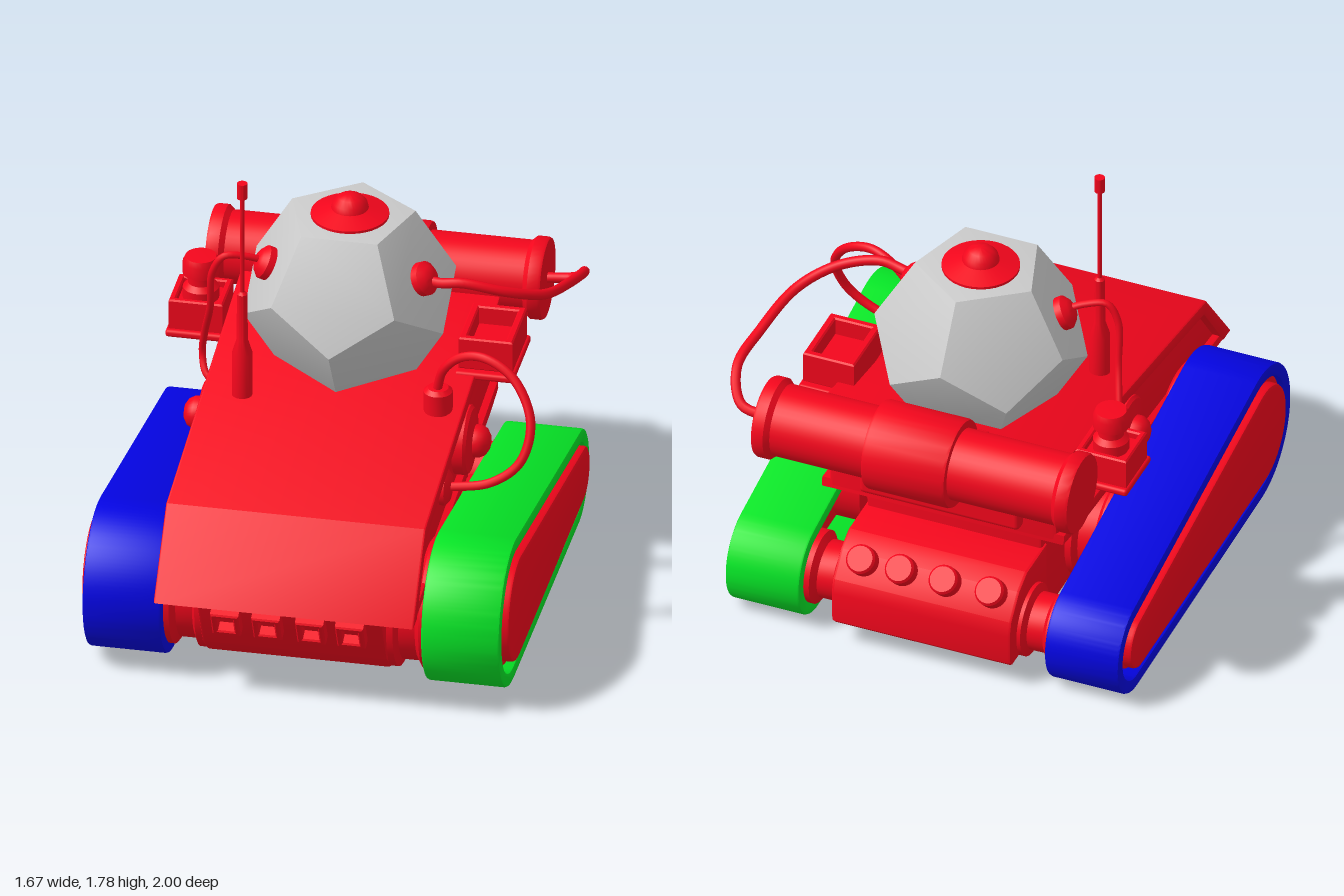
import * as THREE from 'three';
import { toCreasedNormals } from 'three/addons/utils/BufferGeometryUtils.js';
import { RoundedBoxGeometry } from 'three/addons/geometries/RoundedBoxGeometry.js';
import { ConvexGeometry } from 'three/addons/geometries/ConvexGeometry.js';

const mat = (color) => new THREE.MeshStandardMaterial({ color, side: THREE.DoubleSide });
const V = (x, y, z) => new THREE.Vector3(x, y, z);

export function createModel() {
  const model = new THREE.Group();
  const red = mat(0xf4061c), green = mat(0x06e426), blue = mat(0x0404e0), grey = mat(0xcccccc);

  const add = (name, geo, material = red, x = 0, y = 0, z = 0) => {
    const m = new THREE.Mesh(geo, material);
    m.name = name;
    m.position.set(x, y, z);
    model.add(m);
    return m;
  };
  const box = (name, w, h, d, x, y, z, r = 0.012) =>
    add(name, new RoundedBoxGeometry(w, h, d, 2, r), red, x, y, z);

  // Turned part: profile of [radius, height], its axis turned towards dir
  const turned = (name, profile, pos, dir = V(0, 1, 0), seg = 32) => {
    const pts = profile.map(([r, h]) => new THREE.Vector2(r, h));
    const geo = toCreasedNormals(new THREE.LatheGeometry(pts, seg), 0.6);
    const m = add(name, geo, red, pos.x, pos.y, pos.z);
    m.quaternion.setFromUnitVectors(V(0, 1, 0), dir.clone().normalize());
    return m;
  };

  // Side profile in (z, y), extruded between x0 and x1
  const slab = (shape, x0, x1, bevel = 0.012, crease = 0.5) => {
    const geo = new THREE.ExtrudeGeometry(shape, {
      depth: x1 - x0 - 2 * bevel, curveSegments: 28,
      bevelThickness: bevel, bevelSize: bevel, bevelOffset: -bevel, bevelSegments: 2,
    });
    geo.rotateY(-Math.PI / 2).translate(x1 - bevel, 0, 0);
    return toCreasedNormals(geo, crease);
  };
  const polygon = (pts) => new THREE.Shape(pts.map(([z, y]) => new THREE.Vector2(z, y)));

  // Outline of a belt around two wheels of different size
  const beltPath = (P, z1, y1, r1, z2, y2, r2) => {
    const p = new P();
    const b = Math.atan2(y2 - y1, z2 - z1);
    const a = Math.acos((r1 - r2) / Math.hypot(z2 - z1, y2 - y1));
    p.absarc(z1, y1, r1, b + a, b - a + 2 * Math.PI, false);
    p.absarc(z2, y2, r2, b - a, b + a, false);
    p.closePath();
    return p;
  };

  const tube = (name, pts, r = 0.018) =>
    add(name, new THREE.TubeGeometry(
      new THREE.CatmullRomCurve3(pts.map((p) => V(...p))), 60, r, 10));

  // Open square frame facing +z
  const frame = (w, h, wall, depth) => {
    const rect = (P, a, b) => new P([[-a, -b], [a, -b], [a, b], [-a, b]].map((q) => new THREE.Vector2(...q)));
    const s = rect(THREE.Shape, w / 2, h / 2);
    s.holes.push(rect(THREE.Path, w / 2 - wall, h / 2 - wall));
    return new THREE.ExtrudeGeometry(s, {
      depth: depth - 0.012, bevelThickness: 0.006, bevelSize: 0.006, bevelOffset: -0.006, bevelSegments: 1,
    });
  };

  // Lower hull with receding nose, and rear engine box
  add('lowerHull', slab(polygon([[0.92, 0.46], [0.785, 0.18], [0.7, 0.1], [-0.54, 0.1], [-0.54, 0.58], [0.7, 0.5]]), -0.36, 0.36));
  add('engineBox', slab(polygon([[-0.5, 0.1], [-0.5, 0.44], [-0.7, 0.44], [-0.78, 0.4], [-0.86, 0.31], [-0.875, 0.25], [-0.87, 0.12], [-0.85, 0.1]]), -0.37, 0.37));

  // Upper hull: recessed sides under an overhanging bent armour plate
  add('upperHull', slab(polygon([[0.95, 0.455], [0.74, 0.73], [-0.6, 0.94], [-0.64, 0.92], [-0.655, 0.59], [-0.52, 0.56], [0.7, 0.45]]), -0.47, 0.47, 0.02));
  add('armourPlate', slab(polygon([[1.0, 0.45], [0.76, 0.755], [-0.66, 0.975], [-0.66, 0.925], [0.735, 0.705], [0.93, 0.45]]), -0.505, 0.505, 0.008, 0.77));
  add('lowerTrim', slab(polygon([[0.95, 0.45], [0.9, 0.49], [-0.65, 0.615], [-0.655, 0.575], [-0.5, 0.55]]), -0.5, 0.5, 0.008));
  box('rearPlate', 0.66, 0.21, 0.07, 0, 0.72, -0.66, 0.02);
  box('cannonSaddle', 0.34, 0.14, 0.22, 0, 0.9, -0.68, 0.02);

  // Front windows in the sloped nose
  for (const x of [-0.245, -0.085, 0.085, 0.24]) {
    const w = add('noseWindow', frame(0.11, 0.125, 0.023, 0.06), red, x, 0.35, 0.858);
    w.rotation.x = 0.44;
  }

  // Rear exhaust pegs
  for (const x of [-0.28, -0.09, 0.09, 0.25]) {
    turned('exhaustPeg', [[0, 0], [0.042, 0], [0.042, 0.07], [0.058, 0.075], [0.058, 0.13], [0.05, 0.14], [0, 0.14]],
      V(x, 0.35, -0.775), V(0, 1, -1), 24);
  }

  // Tracks, side panels and road wheels
  for (const s of [1, -1]) {
    const span = (a, b) => (s > 0 ? [a, b] : [-b, -a]);
    const belt = beltPath(THREE.Shape, 0.567, 0.325, 0.295, -0.67, 0.202, 0.195);
    belt.holes.push(beltPath(THREE.Path, 0.567, 0.325, 0.241, -0.67, 0.202, 0.141));
    add(s > 0 ? 'leftTrack' : 'rightTrack', slab(belt, ...span(0.505, 0.81), 0.01), s > 0 ? green : blue);
    add('trackPanel', slab(beltPath(THREE.Shape, 0.56, 0.338, 0.21, -0.67, 0.225, 0.11), ...span(0.6, 0.83)));
    add('trackFrame', slab(beltPath(THREE.Shape, 0.572, 0.344, 0.228, -0.67, 0.23, 0.125), ...span(0.62, 0.79)));
    for (const [z, y, r] of [[0.55, 0.32, 0.26], [-0.1, 0.27, 0.21], [-0.67, 0.2, 0.145]]) {
      turned('roadWheel', [[0, 0], [r, 0], [r, 0.03], [r - 0.03, 0.045], [r - 0.03, 0.11], [r, 0.13], [r, 0.3], [0, 0.3]],
        V(s * 0.355, y, z), V(s, 0, 0), 40);
    }
    // Round side hatch with a ball
    turned('sideHatch', [[0, 0], [0.135, 0], [0.135, 0.05], [0.125, 0.062], [0.064, 0.075], [0.064, 0.095], [0.052, 0.118], [0.03, 0.132], [0, 0.137]],
      V(s * 0.46, 0.7, -0.035), V(s, 0, 0));
    // Hose port on the upper side face of the dome
    turned('domePort', [[0, -0.035], [0.066, -0.035], [0.066, 0.015], [0.045, 0.035], [0.03, 0.043], [0, 0.047]],
      V(s * 0.305, 1.3, -0.185), V(s * 0.851, 0.447, 0.276), 24);
  }

  // Twelve-sided dome from four rings of five points, its normals softened outwards
  const R = 0.415, dome = [];
  for (const [r, h, turn] of [[0.607, 0.795, Math.PI], [0.982, 0.188, Math.PI], [0.982, -0.188, 0], [0.607, -0.795, 0]]) {
    for (let i = 0; i < 5; i++) {
      const a = turn + (i * 2 * Math.PI) / 5;
      dome.push(V(R * r * Math.sin(a), R * h, R * r * Math.cos(a)));
    }
  }
  const domeGeo = new ConvexGeometry(dome);
  const { position, normal } = domeGeo.attributes;
  for (let i = 0; i < normal.count; i++) {
    const out = V().fromBufferAttribute(position, i).normalize().multiplyScalar(0.3);
    const n = V().fromBufferAttribute(normal, i).add(out).normalize();
    normal.setXYZ(i, n.x, n.y, n.z);
  }
  add('dome', domeGeo, grey, 0, 1.168, -0.271);
  turned('domeCap', [[0, 0], [0.15, 0], [0.15, 0.012], [0.072, 0.035], [0.066, 0.058], [0.045, 0.08], [0.02, 0.09], [0, 0.092]], V(0, 1.496, -0.273));

  // Rear cannon lying across the hull
  turned('cannon', [[0, 0], [0.155, 0], [0.16, 0.01], [0.16, 0.05], [0.142, 0.07], [0.142, 0.5], [0.172, 0.5], [0.176, 0.51],
    [0.176, 0.83], [0.172, 0.84], [0.142, 0.84], [0.142, 1.23], [0.16, 1.25], [0.16, 1.29], [0.155, 1.3], [0, 1.3]],
  V(-0.645, 0.98, -0.825), V(1, 0, 0), 40);

  // Antenna
  turned('antenna', [[0, 0], [0.04, 0], [0.04, 0.18], [0.022, 0.24], [0.02, 0.44], [0.009, 0.45], [0.009, 0.86],
    [0.02, 0.86], [0.02, 0.925], [0, 0.925]], V(-0.35, 0.86, 0.065), undefined, 20);

  // Left tray box
  box('leftShelf', 0.23, 0.03, 0.34, 0.54, 0.895, -0.345);
  box('leftTrayFloor', 0.2, 0.06, 0.26, 0.54, 0.94, -0.345);
  add('leftTray', frame(0.21, 0.28, 0.03, 0.135), red, 0.54, 0.915, -0.345).rotation.x = -Math.PI / 2;

  // Right box with a capped post
  box('rightShelf', 0.25, 0.03, 0.25, -0.61, 0.845, -0.475);
  box('rightBoxFloor', 0.18, 0.09, 0.18, -0.62, 0.91, -0.475);
  add('rightBox', frame(0.21, 0.21, 0.025, 0.13), red, -0.62, 0.86, -0.475).rotation.x = -Math.PI / 2;
  turned('cappedPost', [[0, 0], [0.07, 0], [0.07, 0.1], [0.05, 0.12], [0.05, 0.15], [0.07, 0.16], [0.07, 0.21], [0.06, 0.232], [0, 0.235]],
    V(-0.62, 0.9, -0.475), undefined, 24);

  // Hoses and their fittings
  turned('hoseFitting', [[0, 0], [0.056, 0], [0.056, 0.085], [0.04, 0.1], [0, 0.105]], V(0.405, 0.86, 0.035), undefined, 24);
  turned('sidePort', [[0, 0], [0.07, 0], [0.07, 0.03], [0.05, 0.045], [0, 0.05]], V(0.46, 0.67, 0.285), V(1, 0, 0), 24);
  tube('domeToCannonHose', [[0.31, 1.3, -0.185], [0.37, 1.3, -0.165], [0.46, 1.312, -0.16], [0.62, 1.27, -0.2], [0.74, 1.21, -0.31],
    [0.8, 1.145, -0.53], [0.82, 1.09, -0.72], [0.76, 1.0, -0.82], [0.64, 0.98, -0.83]], 0.02);
  tube('leftLoopHose', [[0.4, 0.94, 0.04], [0.43, 1.05, 0.055], [0.5, 1.12, 0.07], [0.6, 1.145, 0.1], [0.72, 1.09, 0.14], [0.8, 0.95, 0.21],
    [0.77, 0.8, 0.265], [0.66, 0.71, 0.285], [0.48, 0.67, 0.285]]);
  tube('rightHose', [[-0.3, 1.31, -0.18], [-0.38, 1.34, -0.15], [-0.46, 1.345, -0.125], [-0.505, 1.27, -0.125], [-0.52, 1.1, -0.16],
    [-0.56, 0.93, -0.25], [-0.575, 0.82, -0.28], [-0.55, 0.75, -0.24], [-0.46, 0.72, -0.2]], 0.014);

  return model;
}
